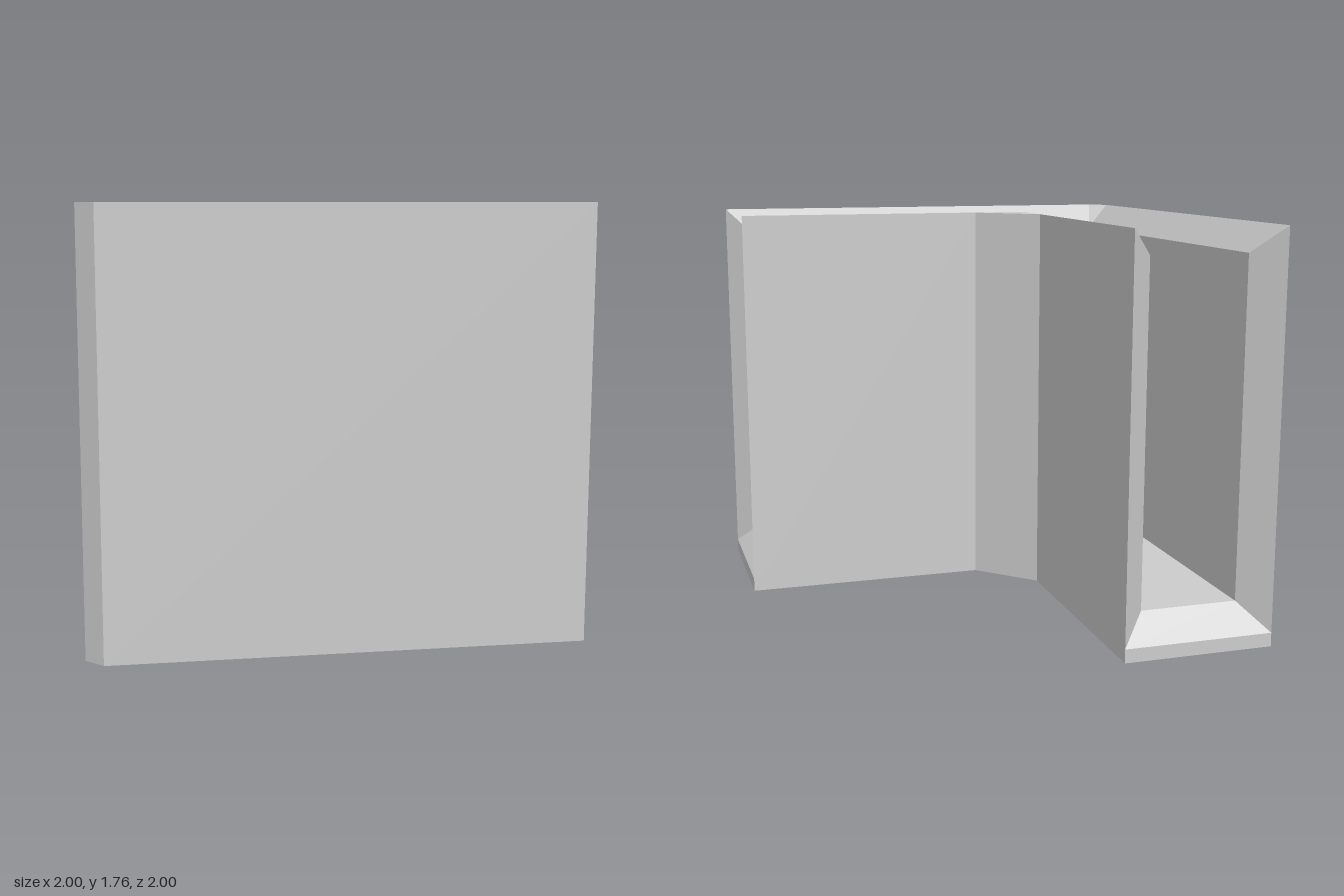
import * as THREE from 'three';
import { toCreasedNormals } from 'three/addons/utils/BufferGeometryUtils.js';

const TOP = 1.765, RIM = 1.65, FLOOR = 0.175, SILL = 0.06;

// plan outlines as [x, z]
const outer = [[-1, -1], [-1, 0.93], [-0.93, 1], [1, 1]];
const outerInset = [[-0.885, -0.885], [-0.885, 0.885], [-0.885, 0.885], [0.885, 0.885]];
const back = [[1, 0.335], [-0.095, 0.335], [-0.335, 0.095], [-0.335, -1]];

// inner corner of the channel, rounded about (-0.288, 0.288)
function fillet(radius, steps = 10) {
  const pts = [];
  for (let i = 0; i <= steps; i++) {
    const t = (i / steps) * Math.PI / 2;
    pts.push([-0.288 - radius * Math.sin(t), 0.288 + radius * Math.cos(t)]);
  }
  return pts;
}
const lipArc = fillet(0.047);
const inner = [[1, 0.335], ...lipArc, [-0.335, -1]];
const innerInset = [[0.885, 0.452], ...fillet(0.164), [-0.452, -0.885]];

const at = (path, y) => path.map(([x, z]) => new THREE.Vector3(x, y, z));

export function createModel() {
  const group = new THREE.Group();
  const grey = new THREE.MeshStandardMaterial({ color: 0xcccccc });
  grey.name = 'plain grey';

  function add(name, geometry) {
    const mesh = new THREE.Mesh(geometry, grey);
    mesh.name = name;
    group.add(mesh);
  }

  // surface through rows of points, each row above the one before
  function loft(name, ...rows) {
    const pos = [];
    const tri = (a, b, c) => {
      if (a.equals(b) || b.equals(c) || a.equals(c)) return;
      for (const p of [a, b, c]) pos.push(p.x, p.y, p.z);
    };
    for (let r = 0; r + 1 < rows.length; r++) {
      const [a, b] = [rows[r], rows[r + 1]];
      for (let i = 0; i + 1 < a.length; i++) {
        tri(a[i], a[i + 1], b[i + 1]);
        tri(a[i], b[i + 1], b[i]);
      }
    }
    const geometry = new THREE.BufferGeometry();
    geometry.setAttribute('position', new THREE.Float32BufferAttribute(pos, 3));
    add(name, toCreasedNormals(geometry, 0.35));
  }

  // horizontal plate, facing up (1) or down (-1)
  function plate(name, path, y, facing) {
    const shape = new THREE.Shape(path.map(([x, z]) => new THREE.Vector2(x, -z * facing)));
    const geometry = new THREE.ShapeGeometry(shape);
    geometry.rotateX(-facing * Math.PI / 2);
    geometry.translate(0, y, 0);
    add(name, geometry);
  }

  // outer wall, sloping rim and channel side
  loft('outerWall', at(outer, 0), at(outer, TOP), at(outerInset, RIM), at(outerInset, FLOOR));
  // back wall with its chamfered corner
  loft('backWall', at(back, 0), at(back, TOP));
  // rounded rim and channel side of the back wall
  loft('innerWall', at(inner, TOP), at(innerInset, RIM), at(innerInset, FLOOR));

  plate('base', [...outer, ...back], 0, -1);
  plate('channelFloor', [outerInset[0], outerInset[1], outerInset[3], ...innerInset], FLOOR, 1);
  plate('cornerLip', [back[1], ...lipArc, back[2]], TOP, 1);

  // flared open ends: flat sill, sloping threshold and two sloping jambs
  function openEnd(name, l, lIn, rIn, r) {
    loft(name + 'Sill', at([l, r], 0), at([l, r], SILL), at([lIn, rIn], FLOOR));
    const pair = (a, ya, b, yb) => [...at([a], ya), ...at([b], yb)];
    loft(name + 'LeftJamb', pair(l, SILL, lIn, FLOOR), pair(l, TOP, lIn, RIM));
    loft(name + 'RightJamb', pair(rIn, FLOOR, r, SILL), pair(rIn, RIM, r, TOP));
  }
  const last = innerInset.length - 1;
  openEnd('sideEnd', outer[3], outerInset[3], innerInset[0], back[0]);
  openEnd('rearEnd', back[3], innerInset[last], outerInset[0], outer[0]);

  return group;
}
